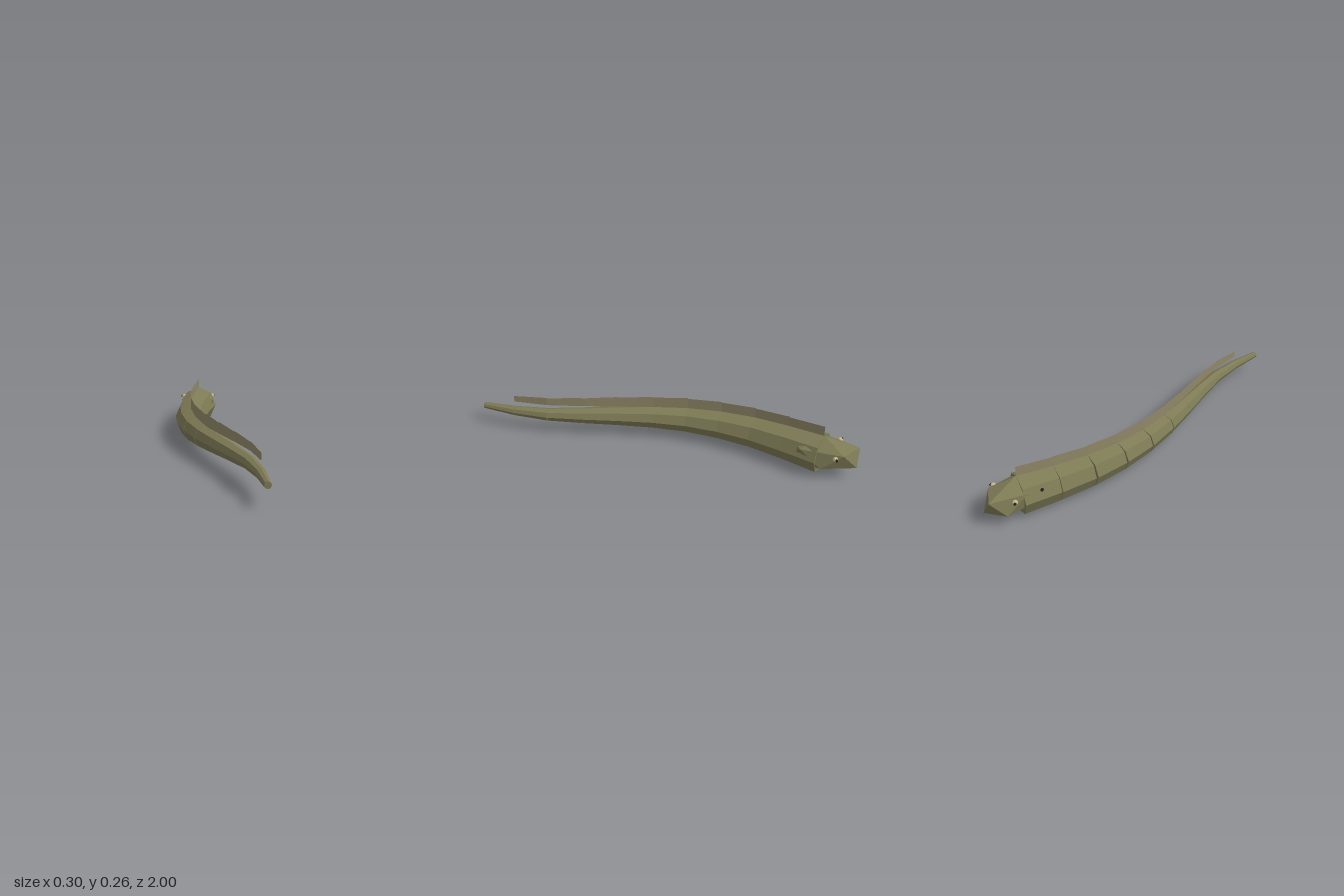
import * as THREE from 'three';

const skin = new THREE.MeshStandardMaterial({ color: 0x7d7a55, flatShading: true });
const finMat = new THREE.MeshStandardMaterial({ color: 0x8f8767, side: THREE.DoubleSide, flatShading: true });
const eyeMat = new THREE.MeshStandardMaterial({ color: 0xc4b68c, flatShading: true });
const dark = new THREE.MeshStandardMaterial({ color: 0x24221c, flatShading: true });

// sideways wave of the spine, from the neck to the tail tip
const spineX = [0.025, -0.022, -0.06, -0.075, -0.068, -0.037, 0.01, 0.062, 0.108, 0.126, 0.123];
const Y = 0.104, NECK = -0.82, STEP = 1.82 / 10;
const spine = spineX.map((x, i) => new THREE.Vector3(x, Y, NECK + i * STEP));
const radius = i => 0.104 - 0.0087 * i;

function add(parent, name, geometry, material, x = 0, y = 0, z = 0) {
  const mesh = new THREE.Mesh(geometry, material);
  mesh.name = name;
  mesh.position.set(x, y, z);
  parent.add(mesh);
  return mesh;
}

// icosahedron standing on a corner: two poles and two staggered rings of five
function headGeometry() {
  const pos = [0, 1, 0];
  for (const s of [1, -1])
    for (let k = 0; k < 5; k++) {
      const a = k * Math.PI * 0.4;
      pos.push(-s * 0.8944 * Math.cos(a), s * 0.4472, -s * 0.8944 * Math.sin(a));
    }
  pos.push(0, -1, 0);
  // ring corner k of the lower ring lies opposite corner k of the upper ring
  const up = k => 1 + (k % 5), low = k => 6 + (k % 5), idx = [];
  for (let k = 0; k < 5; k++) {
    idx.push(0, up(k + 1), up(k));
    idx.push(up(k), up(k + 1), low(k + 3));
    idx.push(low(k), low(k + 1), up(k + 3));
    idx.push(11, low(k), low(k + 1));
  }
  // turn every face outward
  const v = i => new THREE.Vector3().fromArray(pos, i * 3);
  for (let f = 0; f < idx.length; f += 3) {
    const [a, b, c] = [v(idx[f]), v(idx[f + 1]), v(idx[f + 2])];
    if (b.clone().sub(a).cross(c.clone().sub(a)).dot(a) < 0)
      [idx[f + 1], idx[f + 2]] = [idx[f + 2], idx[f + 1]];
  }
  const g = new THREE.BufferGeometry();
  g.setAttribute('position', new THREE.Float32BufferAttribute(pos, 3));
  g.setIndex(idx);
  const flat = g.toNonIndexed();
  flat.computeVertexNormals();
  return flat;
}

// one upright fin panel between two spine points
function finPanel(a, b, topA, topB, bottom) {
  const g = new THREE.BufferGeometry();
  g.setAttribute('position', new THREE.Float32BufferAttribute([
    a.x, bottom, a.z, b.x, bottom, b.z, b.x, topB, b.z, a.x, topA, a.z], 3));
  g.setIndex([0, 1, 2, 0, 2, 3]);
  g.computeVertexNormals();
  return g;
}

export function createModel() {
  const model = new THREE.Group();
  model.name = 'eel';

  // body: tapering eight-sided segments following the spine
  const body = new THREE.Group();
  body.name = 'body';
  model.add(body);
  for (let i = 0; i < 10; i++) {
    const a = spine[i], b = spine[i + 1];
    const g = new THREE.CylinderGeometry(radius(i + 1), radius(i), a.distanceTo(b), 8);
    g.rotateX(Math.PI / 2);
    const mid = a.clone().add(b).multiplyScalar(0.5);
    const seg = add(body, 'bodySegment', g, skin, mid.x, mid.y, mid.z);
    seg.lookAt(b);
  }

  // dorsal fin: slightly stepped panels
  const fin = new THREE.Group();
  fin.name = 'dorsalFin';
  model.add(fin);
  for (let i = 0; i < 9; i++) {
    const top = 0.262 - 0.0068 * i;
    add(fin, 'finPanel', finPanel(spine[i], spine[i + 1], top, top - 0.0108, 0.162), finMat);
  }

  // head
  const head = add(model, 'head', headGeometry(), skin, 0.027, 0.112, -0.825);
  head.scale.set(0.1, 0.096, 0.2055);

  // eyes with pupils, and gill openings, on both sides
  for (const s of [1, -1]) {
    const side = s > 0 ? 'left' : 'right';
    const x = 0.027 + s * 0.088;
    add(model, side + 'Eye', new THREE.SphereGeometry(0.014, 8, 6), eyeMat, x, 0.142, -0.895);
    add(model, side + 'Pupil', new THREE.SphereGeometry(0.008, 6, 5), dark, x + s * 0.009, 0.143, -0.902);
    add(model, side + 'Gill', new THREE.SphereGeometry(0.011, 6, 4), dark, 0.007 + s * 0.08, 0.146, -0.75);
  }
  return model;
}
